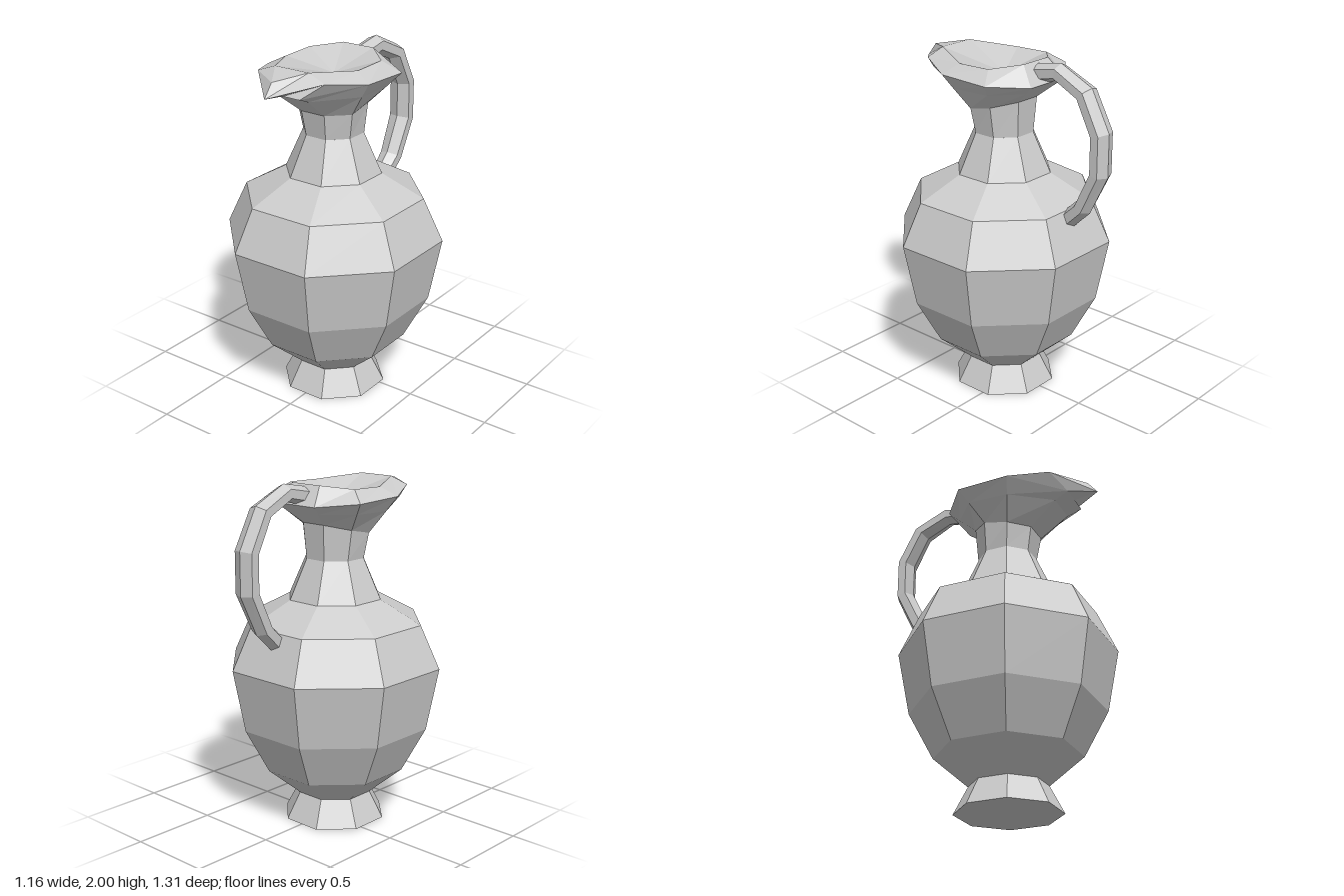
import * as THREE from 'three';

const material = new THREE.MeshStandardMaterial({ color: 0xcccccc, flatShading: true });

// Skin a list of rings (counter-clockwise around the direction of travel);
// start and end are optional centre points that close the shape.
function loft(name, rings, start, end) {
  const pos = [];
  const tri = (a, b, c) => {
    const area = b.clone().sub(a).cross(c.clone().sub(a)).length();
    if (area > 1e-6) for (const p of [a, b, c]) pos.push(p.x, p.y, p.z);
  };
  const n = rings[0].length;
  const last = rings[rings.length - 1];
  for (let i = 0; i < n; i++) {
    const j = (i + 1) % n;
    for (let r = 0; r + 1 < rings.length; r++) {
      const a = rings[r], b = rings[r + 1];
      tri(a[i], a[j], b[j]);
      tri(a[i], b[j], b[i]);
    }
    if (start) tri(start, rings[0][j], rings[0][i]);
    if (end) tri(end, last[i], last[j]);
  }
  const geometry = new THREE.BufferGeometry();
  geometry.setAttribute('position', new THREE.Float32BufferAttribute(pos, 3));
  geometry.computeVertexNormals();
  const mesh = new THREE.Mesh(geometry, material);
  mesh.name = name;
  return mesh;
}

const V = (x, y, z) => new THREE.Vector3(x, y, z);
const AXIS_Z = 0.075;

// Ring of nine points from the front point and four on the left side, mirrored
function mirroredRing(front, ...side) {
  const left = side.map((p) => V(...p));
  const right = side.map(([x, y, z]) => V(-x, y, z)).reverse();
  return [V(...front), ...left, ...right];
}

// Foot, belly, shoulder and neck: octagons given by half-width and height
function createBody() {
  const profile = [
    [0.28, 0], [0.205, 0.155], [0.385, 0.32], [0.515, 0.585], [0.58, 0.95],
    [0.475, 1.195], [0.255, 1.325], [0.16, 1.555],
  ];
  const rings = profile.map(([half, y]) => {
    const r = half / Math.cos(Math.PI / 8);
    return Array.from({ length: 8 }, (_, i) => {
      const a = (i + 0.5) * Math.PI / 4;
      return V(r * Math.sin(a), y, AXIS_Z + r * Math.cos(a));
    });
  });
  return loft('body', rings, V(0, 0, AXIS_Z));
}

// Upper neck flaring into the rim with its pointed spout and shallow bowl
function createSpout() {
  const B = [0.335, 1.91, 0.22], C = [0.335, 1.9, -0.09], D = [0.145, 1.88, -0.245];
  const iA = [0.11, 1.985, 0.43], iB = [0.24, 1.96, 0.18];
  const iC = [0.24, 1.965, -0.03], iD = [0.1, 1.985, -0.155];
  const rings = [
    // neck
    mirroredRing([0, 1.555, 0.235], [0.066, 1.555, 0.235], [0.16, 1.555, 0.141],
      [0.16, 1.555, 0.009], [0.066, 1.555, -0.085]),
    mirroredRing([0, 1.7, 0.26], [0.077, 1.7, 0.26], [0.185, 1.7, 0.155],
      [0.185, 1.73, 0.01], [0.077, 1.76, -0.1]),
    // underside
    mirroredRing([0, 1.825, 0.425], [0.1, 1.825, 0.425], [0.275, 1.826, 0.196],
      [0.275, 1.832, -0.05], [0.118, 1.832, -0.187]),
    mirroredRing([0, 1.86, 0.51], [0.11, 1.86, 0.51], B, C, D),
    // outer lip
    mirroredRing([0, 1.88, 0.655], [0.22, 1.945, 0.44], B, C, D),
    // inner lip
    mirroredRing([0, 1.955, 0.595], iA, iB, iC, iD),
    mirroredRing([0, 1.985, 0.43], iA, iB, iC, iD),
  ];
  return loft('neckAndSpout', rings, null, V(0, 1.88, 0.07));
}

// Hexagonal handle swept from the shoulder up and over to the rim
function createHandle() {
  // z, y, half-width
  const path = [
    [-0.4, 1.14, 0.052], [-0.5, 1.235, 0.058], [-0.605, 1.45, 0.065], [-0.605, 1.67, 0.065],
    [-0.5, 1.87, 0.062], [-0.32, 1.953, 0.053], [-0.18, 1.925, 0.052],
  ];
  const centres = path.map(([z, y]) => V(0, y, z));
  const rings = path.map(([, , w], k) => {
    const before = centres[Math.max(k - 1, 0)];
    const after = centres[Math.min(k + 1, path.length - 1)];
    const t = after.clone().sub(before).normalize();
    const out = V(0, t.z, -t.y);
    return Array.from({ length: 6 }, (_, i) => {
      const a = i * Math.PI / 3;
      const p = centres[k].clone().addScaledVector(out, 0.051 * Math.cos(a));
      p.x -= w / Math.sin(Math.PI / 3) * Math.sin(a);
      return p;
    });
  });
  return loft('handle', rings, centres[0], centres[path.length - 1]);
}

export function createModel() {
  const model = new THREE.Group();
  model.name = 'pitcher';
  model.add(createBody(), createSpout(), createHandle());
  return model;
}
